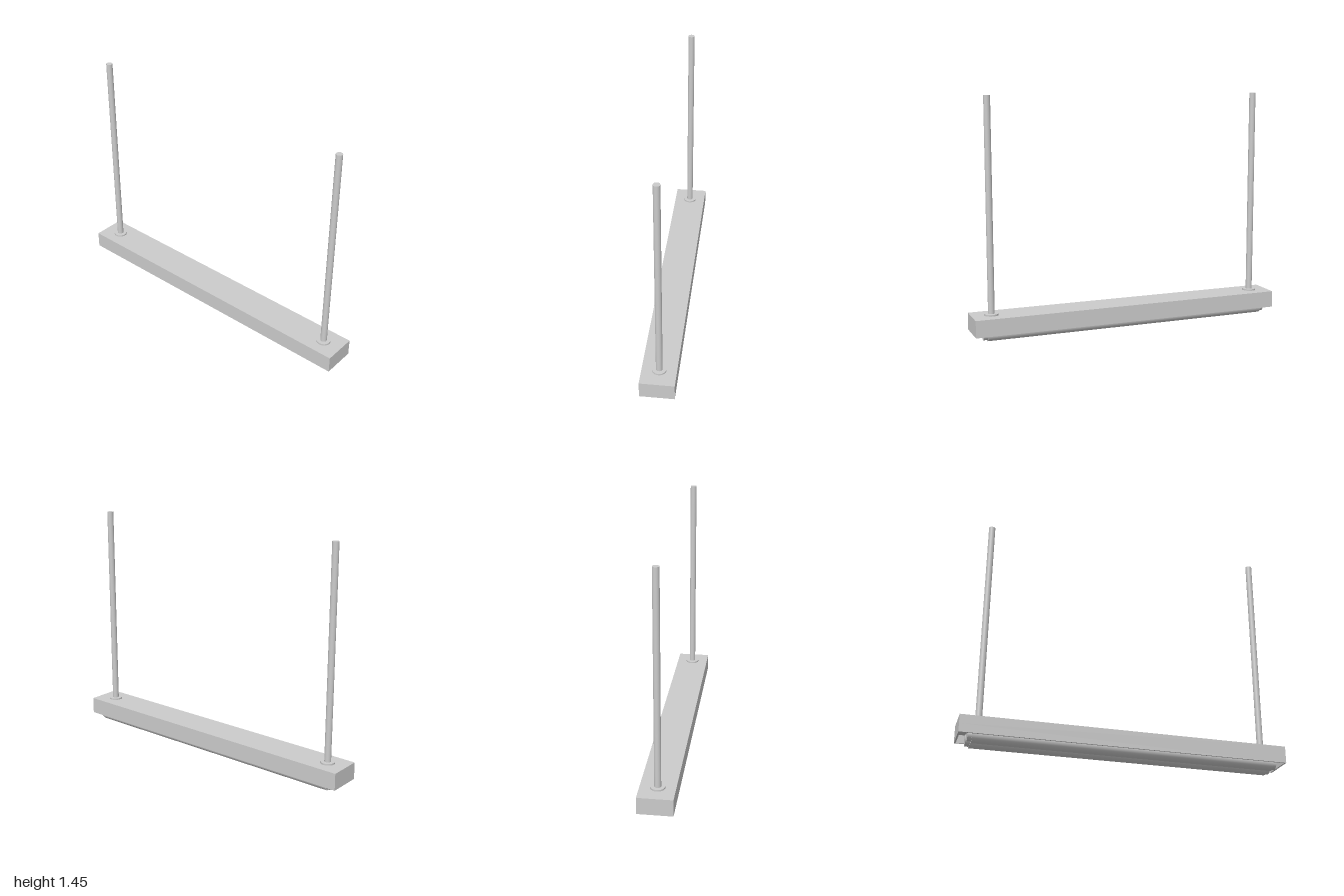
import * as THREE from 'three';

const grey = new THREE.MeshStandardMaterial({ color: 0xcccccc });

export function createModel() {
  const model = new THREE.Group();

  const add = (name, geometry, x, y, z) => {
    const mesh = new THREE.Mesh(geometry, grey);
    mesh.name = name;
    mesh.position.set(x, y, z);
    model.add(mesh);
    return mesh;
  };

  // Housing: a rectangular frame, open below, closed by a solid top
  const bottom = 0.04, ceiling = 0.09, top = 0.145;
  const halfX = 1, halfZ = 0.105, wall = 0.01;
  const rectangle = (path, hx, hz) => path
    .moveTo(-hx, -hz).lineTo(hx, -hz).lineTo(hx, hz).lineTo(-hx, hz).closePath();
  const outline = new THREE.Shape();
  rectangle(outline, halfX, halfZ);
  const opening = new THREE.Path();
  rectangle(opening, halfX - wall, halfZ - wall);
  outline.holes.push(opening);
  const rim = new THREE.ExtrudeGeometry(outline, { depth: ceiling - bottom, bevelEnabled: false });
  rim.rotateX(-Math.PI / 2);
  add('housingRim', rim, 0, bottom, 0);
  add('housingTop', new THREE.BoxGeometry(2 * halfX, top - ceiling, 2 * halfZ),
    0, (top + ceiling) / 2, 0);

  // Two lamp tubes with a narrower cap at each end
  const tubeRadius = 0.042, tubeHalf = 0.92, capLength = 0.025;
  for (const z of [-0.046, 0.046]) {
    const tube = new THREE.CylinderGeometry(tubeRadius, tubeRadius, 2 * tubeHalf, 32);
    add('lampTube', tube.rotateZ(Math.PI / 2), 0, tubeRadius, z);
    for (const side of [-1, 1]) {
      const cap = new THREE.CylinderGeometry(0.034, 0.034, capLength, 32);
      add('tubeCap', cap.rotateZ(Math.PI / 2), side * (tubeHalf + capLength / 2), tubeRadius, z);
    }
  }

  // Hanging rods with their round mounting plates
  const rodTop = 1.455;
  for (const x of [-0.88, 0.88]) {
    add('mountingPlate', new THREE.CylinderGeometry(0.043, 0.043, 0.01, 32), x, top + 0.005, 0);
    add('hangingRod', new THREE.CylinderGeometry(0.02, 0.02, rodTop - top, 24),
      x, (rodTop + top) / 2, 0);
  }

  return model;
}
